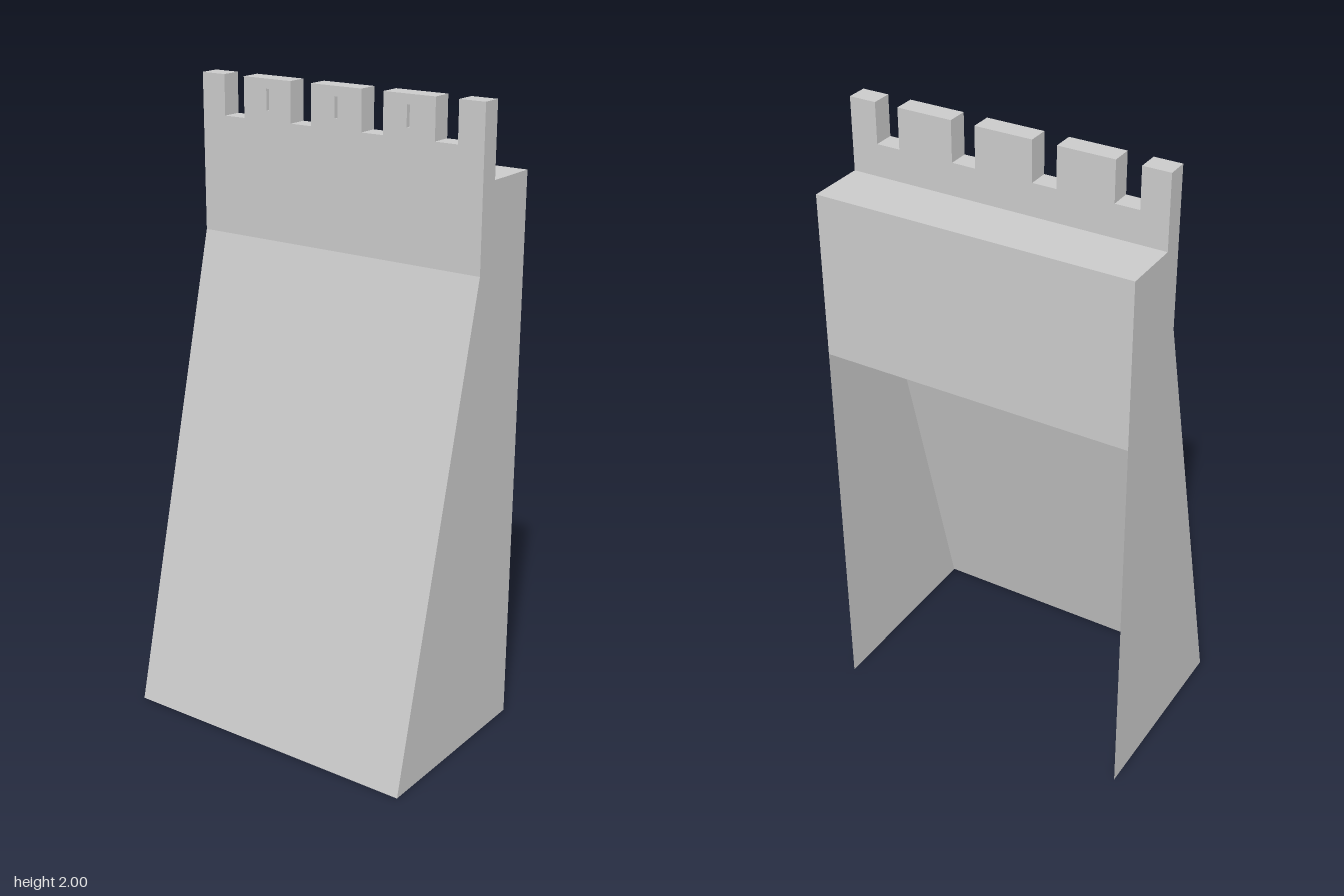
import * as THREE from 'three';

const W = 0.5;                       // half width
const FRONT = -0.065, BACK = -0.13;  // z of the parapet faces
const BEND = 1.51, WALK = 1.775, NOTCH = 1.875, TOP = 2;

const material = new THREE.MeshStandardMaterial({ color: 0xcccccc, side: THREE.DoubleSide, flatShading: true });

// Sweep a polyline in xy along z; clockwise order faces outward.
function ribbon(points, z0, z1) {
  const v = [];
  for (let i = 0; i < points.length - 1; i++) {
    const [a, b] = points[i], [c, d] = points[i + 1];
    v.push(a, b, z0, a, b, z1, c, d, z1, a, b, z0, c, d, z1, c, d, z0);
  }
  const g = new THREE.BufferGeometry();
  g.setAttribute('position', new THREE.Float32BufferAttribute(v, 3));
  g.computeVertexNormals();
  return g;
}

const toShape = (points) => new THREE.Shape(points.map(([x, y]) => new THREE.Vector2(x, y)));

// Rectangle corners, clockwise from bottom left
const rect = (x0, y0, x1, y1) => [[x0, y0], [x0, y1], [x1, y1], [x1, y0]];

export function createModel() {
  const group = new THREE.Group();
  const add = (name, geometry) => {
    const mesh = new THREE.Mesh(geometry, material);
    mesh.name = name;
    group.add(mesh);
    return mesh;
  };

  // Hollow wall body: profile coordinates are (-z, y), turned to run along x
  const turn = (g) => g.rotateY(Math.PI / 2);
  add('slopedFront', turn(ribbon([[-0.315, 0], [-FRONT, BEND]], -W, W)));
  add('walkway', turn(ribbon([[-BACK, WALK], [0.315, WALK]], -W, W)));
  add('upperBackPanel', turn(ribbon([[0.315, WALK], [0.315, 1.255]], -W, W)));

  const side = toShape([[-0.315, 0], [-FRONT, BEND], [-FRONT, TOP], [-BACK, TOP],
    [-BACK, WALK], [0.315, WALK], [0.315, 0]]);
  add('leftSide', turn(new THREE.ShapeGeometry(side)).translate(W, 0, 0));
  add('rightSide', turn(new THREE.ShapeGeometry(side)).rotateY(Math.PI).scale(1, 1, -1).translate(-W, 0, 0));
  // The mirrored side needs its winding reversed
  const idx = group.getObjectByName('rightSide').geometry.index.array;
  for (let i = 0; i < idx.length; i += 3) [idx[i], idx[i + 1]] = [idx[i + 1], idx[i]];
  group.getObjectByName('rightSide').geometry.computeVertexNormals();

  // Battlement outline with four notches, left to right
  const crown = [[-W, TOP]];
  for (const [a, b] of [[-0.415, -0.34], [-0.165, -0.09], [0.09, 0.165], [0.34, 0.415]])
    crown.push([a, TOP], [a, NOTCH], [b, NOTCH], [b, TOP]);
  crown.push([W, TOP]);
  add('battlementTops', ribbon(crown, BACK, FRONT));

  // Parapet faces, with a narrow recessed slit in each full merlon
  const front = toShape([[-W, BEND], ...crown, [W, BEND]]);
  const depth = 0.015;
  for (const x of [-0.25, 0, 0.25]) {
    const slit = rect(x - 0.005, 1.905, x + 0.005, 1.97);
    front.holes.push(new THREE.Path(slit.map(([a, b]) => new THREE.Vector2(a, b))));
    add('slitWalls', ribbon([...slit, slit[0]].reverse(), FRONT - depth, FRONT));
    add('slitBack', new THREE.ShapeGeometry(toShape(slit)).translate(0, 0, FRONT - depth));
  }
  add('parapetFront', new THREE.ShapeGeometry(front).translate(0, 0, FRONT));

  const rear = toShape([[-W, WALK], ...crown, [W, WALK]].map(([x, y]) => [-x, y]));
  add('parapetBack', new THREE.ShapeGeometry(rear).rotateY(Math.PI).translate(0, 0, BACK));

  return group;
}
